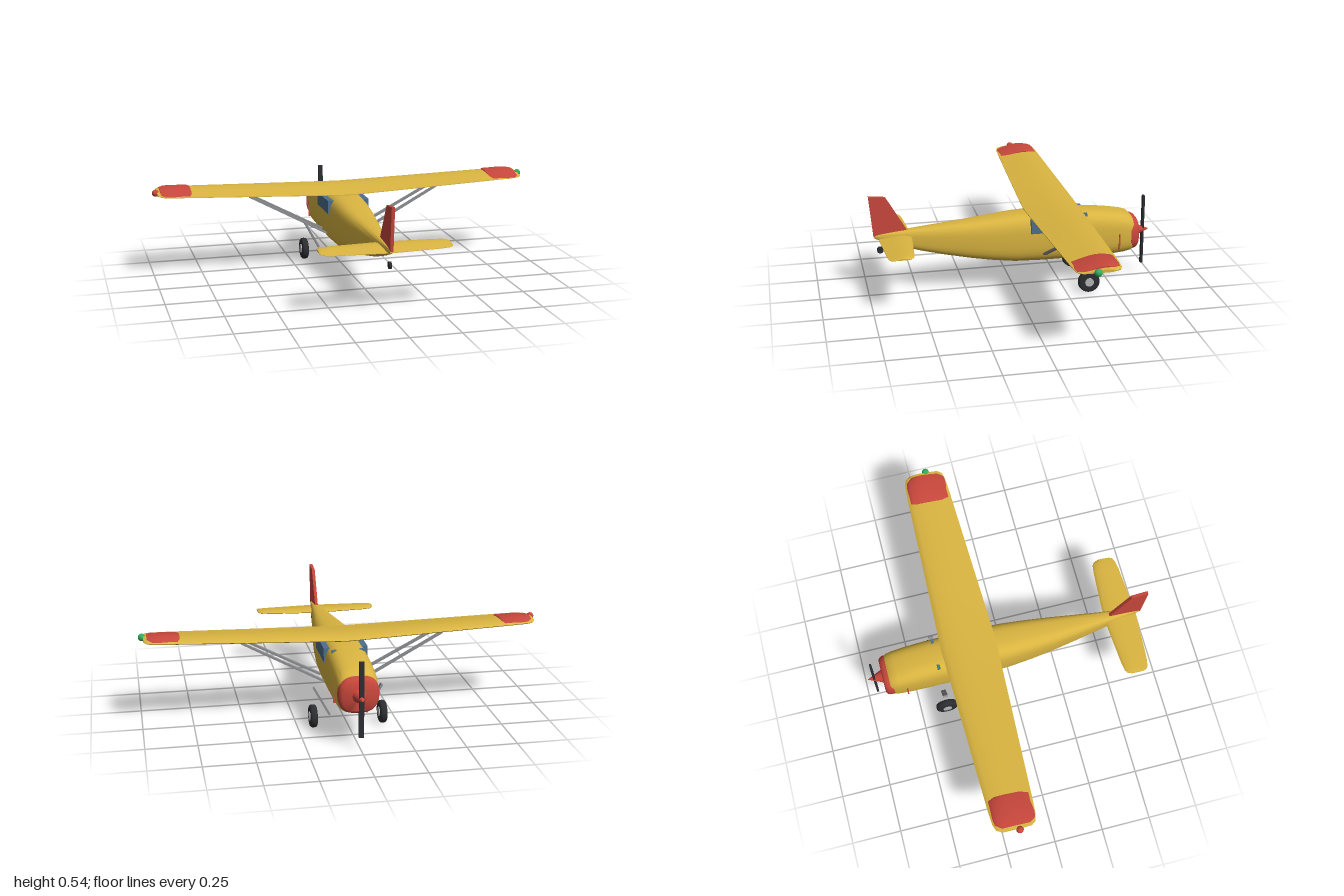
import * as THREE from 'three';
import { toCreasedNormals } from 'three/addons/utils/BufferGeometryUtils.js';

const mat = (name, color) => Object.assign(new THREE.MeshStandardMaterial({ color }), { name });

// Skin a row of closed rings (arrays of [x, y, z]) and cap both ends.
function loft(rings, crease = 0.7) {
  const n = rings[0].length, pos = rings.flat(2), idx = [];
  for (let r = 0; r < rings.length - 1; r++) {
    for (let i = 0; i < n; i++) {
      const a = r * n + i, b = r * n + (i + 1) % n;
      idx.push(a, b, b + n, a, b + n, a + n);
    }
  }
  [0, rings.length - 1].forEach((r, end) => {
    const c = pos.length / 3;
    for (let k = 0; k < 3; k++) pos.push(rings[r].reduce((s, p) => s + p[k], 0) / n);
    for (let i = 0; i < n; i++) {
      const a = r * n + i, b = r * n + (i + 1) % n;
      if (end) idx.push(c, a, b); else idx.push(c, b, a);
    }
  });
  // Turn the skin outwards when its enclosed volume is negative
  let volume = 0;
  const v = i => new THREE.Vector3().fromArray(pos, i * 3);
  for (let i = 0; i < idx.length; i += 3) volume += v(idx[i]).dot(v(idx[i + 1]).cross(v(idx[i + 2])));
  if (volume < 0) idx.reverse();
  const g = new THREE.BufferGeometry();
  g.setAttribute('position', new THREE.Float32BufferAttribute(pos, 3));
  g.setIndex(idx);
  return toCreasedNormals(g, crease);
}

// Rounded-square body ring: z, half width, bottom, top
function bodyRing([z, w, y0, y1], power = 3.2, n = 40) {
  const round = t => Math.sign(t) * Math.abs(t) ** (2 / power);
  return Array.from({ length: n }, (_, i) => {
    const a = i / n * Math.PI * 2;
    return [w * round(Math.cos(a)), (y0 + y1) / 2 + (y1 - y0) / 2 * round(Math.sin(a)), z];
  });
}

// Airfoil ring: x, leading z, trailing z, bottom y, thickness
function foilRing([x, lead, trail, y, t]) {
  const chord = [[1, 0.12], [0.8, 0.42], [0.6, 0.76], [0.4, 0.97], [0.25, 1], [0.1, 0.83], [0.03, 0.63],
    [0, 0.42], [0.03, 0.22], [0.1, 0.08], [0.25, 0], [0.6, 0], [1, 0]];
  return chord.map(([c, h]) => [x, y + t * h, lead + (trail - lead) * c]);
}

// Mirror half-span stations into a full span
const span = half => [...half.slice(1).reverse().map(([x, ...r]) => [-x, ...r]), ...half];

export function createModel() {
  const model = new THREE.Group();
  model.name = 'highWingAirplane';
  const yellow = mat('yellowPaint', 0xd9b440), red = mat('redPaint', 0xc8473c),
    glass = mat('blueGlass', 0x4c6f8c), metal = mat('greyMetal', 0x8c8d90),
    rubber = mat('blackRubber', 0x2c2d31), hubMetal = mat('lightHub', 0xb4b4b6),
    green = mat('greenLight', 0x2fae5e);

  const add = (name, geometry, material, x = 0, y = 0, z = 0) => {
    const m = new THREE.Mesh(geometry, material);
    m.name = name;
    m.position.set(x, y, z);
    model.add(m);
    return m;
  };
  const box = (w, h, d) => new THREE.BoxGeometry(w, h, d);

  // Flat bar between two points
  const bar = (name, a, b, thick, wide) => {
    const p = new THREE.Vector3(...a), q = new THREE.Vector3(...b);
    const m = add(name, box(thick, p.distanceTo(q), wide), metal);
    m.position.copy(p).add(q).multiplyScalar(0.5);
    m.quaternion.setFromUnitVectors(new THREE.Vector3(0, 1, 0), q.sub(p).normalize());
  };

  // Fuselage, nose at -z
  add('fuselage', loft([
    [-0.625, 0.092, 0.166, 0.348], [-0.612, 0.097, 0.16, 0.36], [-0.58, 0.101, 0.153, 0.371],
    [-0.52, 0.104, 0.148, 0.382], [-0.44, 0.105, 0.145, 0.393], [-0.3, 0.105, 0.142, 0.404],
    [-0.15, 0.105, 0.141, 0.406], [0, 0.099, 0.145, 0.4], [0.12, 0.089, 0.16, 0.387],
    [0.23, 0.076, 0.178, 0.375], [0.36, 0.057, 0.204, 0.364], [0.48, 0.039, 0.232, 0.354],
    [0.6, 0.023, 0.269, 0.343], [0.68, 0.013, 0.298, 0.334], [0.71, 0.008, 0.309, 0.329],
  ].map(r => bodyRing(r))), yellow);

  // Cowling, spinner and propeller
  add('cowling', loft([
    [-0.61, 0.099, 0.163, 0.35], [-0.635, 0.098, 0.166, 0.346],
    [-0.648, 0.092, 0.172, 0.339], [-0.655, 0.083, 0.18, 0.33],
  ].map(r => bodyRing(r, 2.6))), red);
  const spinner = add('spinner', new THREE.ConeGeometry(0.037, 0.085, 32), red, 0, 0.256, -0.69);
  spinner.rotation.x = -Math.PI / 2;
  add('propeller', box(0.024, 0.375, 0.011), rubber, 0, 0.254, -0.698);
  add('cowlVents', box(0.213, 0.085, 0.007), red, 0, 0.232, -0.545);

  // Glazing
  add('cabinWindows', box(0.219, 0.07, 0.234), glass, 0, 0.348, -0.192);
  add('windshield', box(0.162, 0.05, 0.016), glass, 0, 0.367, -0.368);

  // Wing and tailplane
  add('wing', loft(span([
    [0, -0.336, -0.056, 0.412, 0.03], [0.3, -0.328, -0.067, 0.422, 0.028],
    [0.86, -0.312, -0.089, 0.441, 0.025], [0.93, -0.307, -0.094, 0.443, 0.023],
    [0.96, -0.297, -0.103, 0.445, 0.021], [0.976, -0.27, -0.125, 0.448, 0.015],
  ]).map(foilRing)), yellow);
  add('tailplane', loft(span([
    [0, 0.522, 0.692, 0.305, 0.02], [0.26, 0.541, 0.675, 0.306, 0.018],
    [0.3, 0.547, 0.668, 0.307, 0.016], [0.316, 0.558, 0.66, 0.309, 0.012], [0.324, 0.578, 0.643, 0.311, 0.008],
  ]).map(foilRing)), yellow);

  // Fin, profile drawn as (-z, y)
  const finShape = new THREE.Shape([[-0.735, 0.535], [-0.715, 0.318], [-0.543, 0.34], [-0.65, 0.526]]
    .map(p => new THREE.Vector2(...p)));
  const fin = add('fin', new THREE.ExtrudeGeometry(finShape, { depth: 0.016, bevelEnabled: false }), red, -0.008);
  fin.rotation.y = Math.PI / 2;

  const tyreProfile = [[0.02, -0.015], [0.048, -0.017], [0.055, -0.012], [0.057, 0], [0.055, 0.012], [0.048, 0.017],
    [0.02, 0.015]].map(p => new THREE.Vector2(...p));
  const tyre = new THREE.LatheGeometry(tyreProfile, 40);
  const hub = new THREE.CylinderGeometry(0.023, 0.023, 0.04, 20);

  for (const s of [1, -1]) {
    const side = s > 0 ? 'left' : 'right';
    // Painted wing tip sleeve and navigation light
    add(side + 'WingTip', loft([
      [0.803, -0.285, -0.11, 0.44, 0.029], [0.815, -0.304, -0.094, 0.439, 0.034],
      [0.9, -0.303, -0.094, 0.441, 0.035], [0.935, -0.298, -0.098, 0.443, 0.033],
      [0.96, -0.275, -0.115, 0.445, 0.027],
    ].map(([x, ...r]) => foilRing([s * x, ...r]))), red);
    add(side + 'NavigationLight', new THREE.SphereGeometry(0.018, 24, 16), s > 0 ? green : red, s * 0.982, 0.453, -0.185);

    // Wing struts
    bar(side + 'RearStrut', [s * 0.1, 0.195, -0.148], [s * 0.505, 0.412, -0.16], 0.01, 0.02);
    bar(side + 'FrontStrut', [s * 0.1, 0.195, -0.252], [s * 0.505, 0.412, -0.238], 0.01, 0.02);

    // Landing gear
    bar(side + 'GearLeg', [s * 0.092, 0.06, -0.365], [s * 0.17, 0.203, -0.365], 0.01, 0.025);
    add(side + 'Tyre', tyre, rubber, s * 0.174, 0.057, -0.365).rotation.z = Math.PI / 2;
    add(side + 'WheelHub', hub, hubMetal, s * 0.174, 0.057, -0.365).rotation.z = Math.PI / 2;
  }

  // Tail wheel
  add('tailWheel', new THREE.CylinderGeometry(0.017, 0.017, 0.013, 24), rubber, 0, 0.246, 0.684).rotation.z = Math.PI / 2;

  return model;
}
